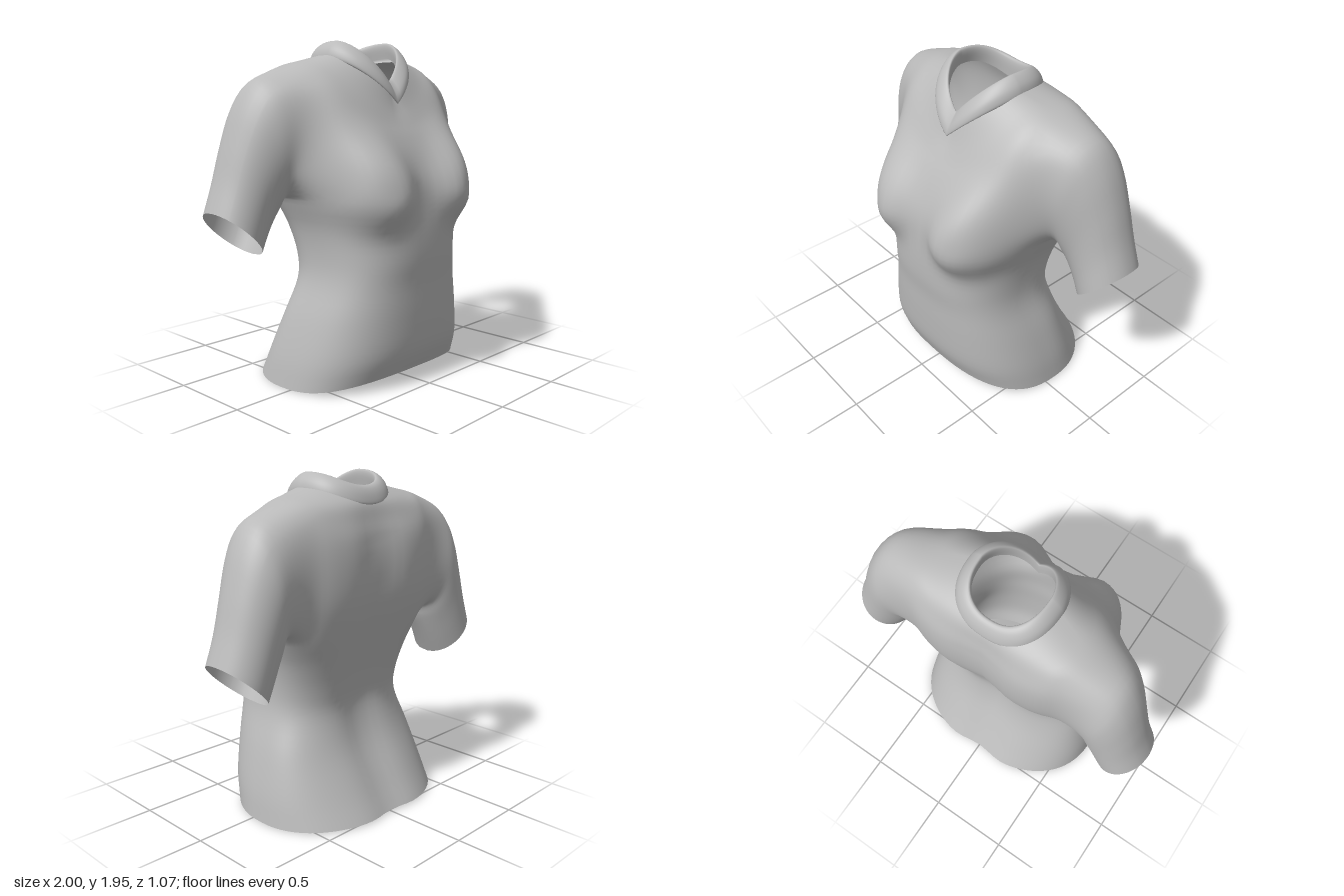
import * as THREE from 'three';

const COLS = 72, SUB = 4;

// torso rings: height at front, side, back; half width; z at front, back, widest point;
// roundness of front and back; how far the front follows a V
const TORSO = [
  [0.085, 0.008, 0.018, 0.63, 0.40, -0.555, -0.08, 0.8, 0.9, 0],
  [0.22, 0.18, 0.18, 0.603, 0.445, -0.455, -0.06, 0.78, 0.88, 0],
  [0.42, 0.40, 0.40, 0.545, 0.46, -0.335, -0.02, 0.76, 0.8, 0],
  [0.60, 0.60, 0.60, 0.477, 0.465, -0.28, 0.05, 0.74, 0.75, 0],
  [0.75, 0.75, 0.75, 0.463, 0.478, -0.295, 0.03, 0.74, 0.75, 0],
  [0.92, 0.92, 0.92, 0.487, 0.475, -0.335, -0.03, 0.76, 0.72, 0],
  [1.08, 1.10, 1.10, 0.555, 0.455, -0.38, -0.10, 0.8, 0.7, 0],
  [1.20, 1.28, 1.28, 0.585, 0.43, -0.42, -0.13, 0.82, 0.7, 0],
  [1.32, 1.50, 1.45, 0.60, 0.385, -0.43, -0.14, 0.82, 0.7, 0],
  [1.42, 1.69, 1.60, 0.60, 0.335, -0.415, -0.14, 0.82, 0.7, 0],
  [1.50, 1.815, 1.71, 0.56, 0.285, -0.375, -0.13, 0.85, 0.7, 0.1],
  [1.57, 1.842, 1.79, 0.42, 0.24, -0.34, -0.09, 0.98, 0.7, 0.5],
  [1.65, 1.885, 1.84, 0.25, 0.20, -0.29, -0.04, 1.15, 0.75, 1],
];

// sleeve rings: top x, y; underside x, y; z at back, front
const SLEEVE = [
  [0.715, 1.745, 0.585, 1.07, -0.378, 0.09],
  [0.812, 1.605, 0.612, 1.01, -0.378, 0.05],
  [0.885, 1.40, 0.645, 0.94, -0.372, 0.015],
  [0.94, 1.21, 0.685, 0.855, -0.37, 0.0],
  [1.00, 1.04, 0.72, 0.78, -0.37, 0.0],
];

// collar rings: height at front, side, back; half width; z at front, back
const COLLAR = [
  [1.625, 1.85, 1.79, 0.262, 0.22, -0.315],
  [1.605, 1.865, 1.79, 0.28, 0.245, -0.335],
  [1.645, 1.91, 1.84, 0.268, 0.238, -0.322],
  [1.69, 1.945, 1.877, 0.238, 0.21, -0.298],
  [1.73, 1.96, 1.887, 0.205, 0.175, -0.27],
  [1.70, 1.93, 1.85, 0.197, 0.168, -0.26],
  [1.64, 1.87, 1.77, 0.205, 0.168, -0.262],
];

const bell = (d, s) => Math.exp(-d * d / (2 * s * s));
const power = (v, p) => Math.sign(v) * Math.abs(v) ** p;
const clamp01 = v => Math.min(1, Math.max(0, v));

// smooth curve through a list of rows, SUB steps for each gap
function smoothRows(rows) {
  const out = [], n = rows.length;
  for (let s = 0; s <= (n - 1) * SUB; s++) {
    const i = Math.min(Math.floor(s / SUB), n - 2), t = s / SUB - i;
    out.push(rows[i].map((b, k) => {
      const c = rows[i + 1][k];
      const a = i > 0 ? rows[i - 1][k] : 2 * b - c;
      const d = i < n - 2 ? rows[i + 2][k] : 2 * c - b;
      return b + 0.5 * t * (c - a + t * (2 * a - 5 * b + 4 * c - d + t * (3 * (b - c) + d - a)));
    }));
  }
  return out;
}

function torsoPoint([yF, yS, yB, w, zF, zB, zC, pF, pB, v], col) {
  const a = col / COLS * Math.PI * 2, s = Math.sin(a), front = s > 0;
  const p = front ? pF : pB;
  const u = power(Math.cos(a), p), x = w * u;
  const lift = front ? s * s * (1 - v) + (1 - Math.abs(u)) * v : s * s;
  const y = yS + ((front ? yF : yB) - yS) * lift;
  let z = zC + ((front ? zF : zB) - zC) * Math.abs(s) ** p;
  if (front) {
    // chest fullness
    const r = Math.hypot((Math.abs(x) - 0.335) / 0.215, (y - 1.13) / (y < 1.13 ? 0.19 : 0.3));
    z += 0.125 * clamp01(s * 1.7) * Math.exp(-(r ** 3));
  } else {
    // hollow along the spine
    z += 0.04 * bell(x, 0.1) * clamp01((1.85 - y) * 4);
  }
  return [x, y, z];
}

function makeGeometry(pos, index) {
  const g = new THREE.BufferGeometry();
  g.setAttribute('position', new THREE.Float32BufferAttribute(pos, 3));
  g.setIndex(index);
  g.computeVertexNormals();
  return g;
}

// soften the joint between torso and sleeves
function relaxArmholes(pos, index) {
  const near = Array.from({ length: pos.length / 3 }, () => new Set());
  index.forEach((v, i) => {
    const next = index[i % 3 === 2 ? i - 2 : i + 1];
    near[v].add(next);
    near[next].add(v);
  });
  for (let pass = 0; pass < 16; pass++) {
    const old = pos.slice();
    near.forEach((set, v) => {
      const weight = 0.6 * bell(Math.abs(old[v * 3]) - 0.56, 0.07) * clamp01((old[v * 3 + 1] - 1.05) * 6);
      if (!set.size || weight < 0.005) return;
      for (let k = 0; k < 3; k++) {
        let sum = 0;
        set.forEach(n => { sum += old[n * 3 + k]; });
        pos[v * 3 + k] += weight * (sum / set.size - old[v * 3 + k]);
      }
    });
  }
}

// torso with an armhole on each side, and sleeves grown from the armhole edges
function shirtGeometry() {
  const pos = [], index = [];
  const rows = smoothRows(TORSO);
  const id = (r, c) => r * COLS + (c + COLS) % COLS;
  const quad = (a, b, c, d, flip) => flip
    ? index.push(a, b, d, b, c, d)
    : index.push(a, d, b, b, d, c);
  rows.forEach(row => {
    for (let c = 0; c < COLS; c++) pos.push(...torsoPoint(row, c));
  });

  const r0 = 6 * SUB, r1 = 10 * SUB, c0 = -8, c1 = 5;
  const inHole = (r, c) => {
    if (r < r0 || r >= r1) return false;
    const signed = c > COLS * 0.75 ? c - COLS : c;
    const mirrored = COLS / 2 - 1 - c;
    return (signed >= c0 && signed < c1) || (mirrored >= c0 && mirrored < c1);
  };
  for (let r = 0; r < rows.length - 1; r++) {
    for (let c = 0; c < COLS; c++) {
      if (!inHole(r, c)) quad(id(r, c), id(r, c + 1), id(r + 1, c + 1), id(r + 1, c));
    }
  }

  // armhole edge as a closed loop of grid places
  const loop = [];
  for (let c = c0; c < c1; c++) loop.push([r0, c]);
  for (let r = r0; r < r1; r++) loop.push([r, c1]);
  for (let c = c1; c > c0; c--) loop.push([r1, c]);
  for (let r = r1; r > r0; r--) loop.push([r, c0]);

  for (const side of [1, -1]) {
    const strips = loop.map(([r, c]) => {
      const p = torsoPoint(rows[r], c);
      const a = Math.atan2((p[1] - 1.43) / 0.35, (p[2] + 0.09) / 0.22);
      const sn = Math.sin(a), cs = Math.cos(a);
      const path = SLEEVE.map(([tx, ty, bx, by, zB, zF]) => [
        (tx + bx) / 2 + (tx - bx) / 2 * sn,
        (ty + by) / 2 + (ty - by) / 2 * sn,
        (zF + zB) / 2 + (zF - zB) / 2 * cs,
      ]);
      const ids = [id(r, side > 0 ? c : COLS / 2 - c)];
      smoothRows([p, ...path]).slice(1).forEach(([x, y, z]) => {
        ids.push(pos.length / 3);
        pos.push(side * x, y, z);
      });
      return ids;
    });
    strips.forEach((s, i) => {
      const n = strips[(i + 1) % strips.length];
      for (let k = 0; k < s.length - 1; k++) quad(s[k], n[k], n[k + 1], s[k + 1], side < 0);
    });
  }
  relaxArmholes(pos, index);
  return makeGeometry(pos, index);
}

// folded band with a V at the front
function collarGeometry() {
  const pos = [], index = [], rows = smoothRows(COLLAR), zC = -0.04;
  rows.forEach(([yF, yS, yB, w, zF, zB], r) => {
    for (let c = 0; c < COLS; c++) {
      const a = c / COLS * Math.PI * 2, s = Math.sin(a), front = s > 0;
      const u = power(Math.cos(a), front ? 0.95 : 0.8);
      const y = front ? yF + (yS - yF) * Math.abs(u) : yB + (yS - yB) * u * u;
      pos.push(w * u, y, zC + (front ? (zF - zC) * s ** 1.2 : (zB - zC) * Math.abs(s) ** 0.8));
      if (r < rows.length - 1) {
        const p = r * COLS + c, q = r * COLS + (c + 1) % COLS;
        index.push(p, p + COLS, q, q, p + COLS, q + COLS);
      }
    }
  });
  return makeGeometry(pos, index);
}

export function createModel() {
  const cloth = new THREE.MeshStandardMaterial({ color: 0xbababa, side: THREE.DoubleSide });
  cloth.name = 'grey cloth';
  const group = new THREE.Group();
  group.name = 'shirt';
  const add = (name, geometry) => {
    const mesh = new THREE.Mesh(geometry, cloth);
    mesh.name = name;
    group.add(mesh);
  };
  add('bodyAndSleeves', shirtGeometry());
  add('collar', collarGeometry());
  return group;
}
